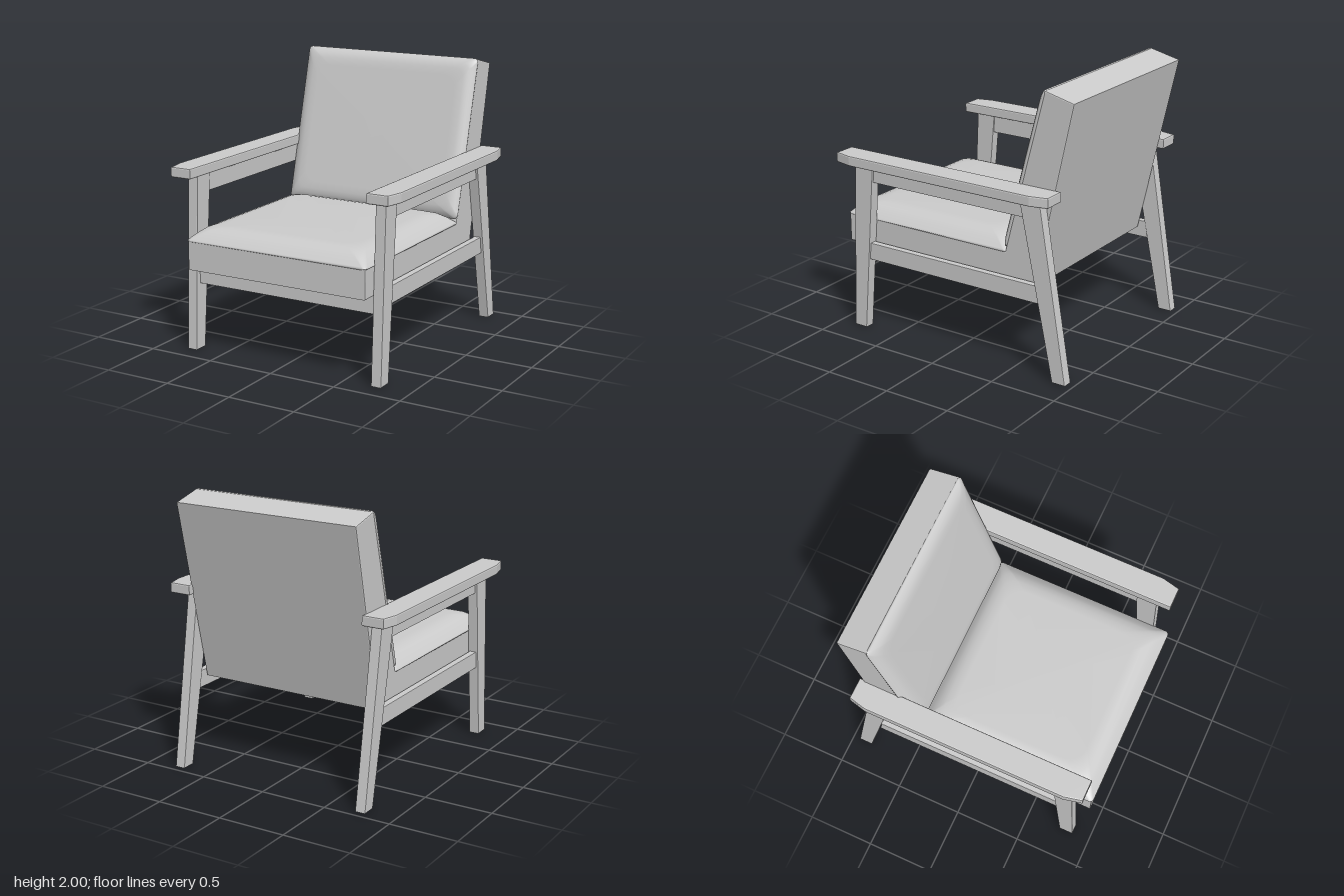
import * as THREE from 'three';

const material = new THREE.MeshStandardMaterial({ color: 0xcccccc });

function add(parent, name, geometry, x = 0, y = 0, z = 0) {
  const mesh = new THREE.Mesh(geometry, material);
  mesh.name = name;
  mesh.position.set(x, y, z);
  parent.add(mesh);
  return mesh;
}

// Softly bevelled slab that keeps the outline's full size, centred on its thickness
function slab(points, thickness, bevel) {
  const shape = new THREE.Shape(points.map(([a, b]) => new THREE.Vector2(a, b)));
  const geometry = new THREE.ExtrudeGeometry(shape, {
    depth: thickness - 2 * bevel, bevelEnabled: true, bevelThickness: bevel,
    bevelSize: bevel, bevelOffset: -bevel, bevelSegments: 2,
  });
  return geometry.translate(0, 0, bevel - thickness / 2);
}

// Outline given as [z, y], thickness along x
const sideSlab = (points, thickness, bevel) => slab(points, thickness, bevel).rotateY(-Math.PI / 2);

// Rounded rectangles stacked by [inset, height], closed with a cap
function pillow(halfW, halfD, radius, profile) {
  const steps = 6, positions = [], index = [];
  const count = 4 * (steps + 1);
  for (const [inset, height] of profile) {
    const r = radius + Math.max(inset, 0) * 0.6;
    for (let corner = 0; corner < 4; corner++) {
      const sx = corner === 0 || corner === 3 ? 1 : -1;
      const sz = corner < 2 ? 1 : -1;
      for (let k = 0; k <= steps; k++) {
        const a = (corner + k / steps) * Math.PI / 2;
        positions.push(sx * (halfW - inset - r) + r * Math.cos(a), height,
          sz * (halfD - inset - r) + r * Math.sin(a));
      }
    }
  }
  const centre = positions.length / 3;
  positions.push(0, profile[profile.length - 1][1], 0);
  for (let row = 0; row < profile.length; row++) {
    for (let i = 0; i < count; i++) {
      const a = row * count + i, b = row * count + (i + 1) % count;
      if (row < profile.length - 1) index.push(a, a + count, b, b, a + count, b + count);
      else index.push(centre, b, a);
    }
  }
  const geometry = new THREE.BufferGeometry();
  geometry.setAttribute('position', new THREE.Float32BufferAttribute(positions, 3));
  geometry.setIndex(index);
  geometry.computeVertexNormals();
  return geometry;
}

export function createModel() {
  const chair = new THREE.Group();
  chair.name = 'armchair';

  // Upholstered seat base and reclined back in one L-shaped body
  add(chair, 'upholsteredBody', sideSlab([
    [0.945, 0.62], [0.945, 0.83], [-0.415, 0.83], [-0.72, 1.995], [-0.945, 1.94], [-0.652, 0.62],
  ], 1.415, 0.008));

  // Domed cushions with a piped edge
  add(chair, 'seatCushion', pillow(0.707, 0.683, 0.03, [
    [0.005, -0.008], [-0.006, -0.003], [-0.008, 0.005], [0, 0.013], [0.012, 0.026],
    [0.04, 0.053], [0.075, 0.08], [0.12, 0.095], [0.18, 0.105],
  ]), 0, 0.83, 0.263);
  const backCushion = add(chair, 'backCushion', pillow(0.707, 0.58, 0.03, [
    [0.005, -0.008], [-0.006, -0.003], [-0.008, 0.005], [0, 0.013], [0.015, 0.026],
    [0.04, 0.041], [0.075, 0.05], [0.13, 0.054],
  ]), 0, 1.43, -0.57);
  backCushion.rotation.x = THREE.MathUtils.degToRad(75);

  // Front rail under the seat
  add(chair, 'frontRail', new THREE.BoxGeometry(1.43, 0.135, 0.06), 0, 0.5525, 0.775);

  for (const [side, s] of [['left', 1], ['right', -1]]) {
    const frame = new THREE.Group();
    frame.name = side + 'SideFrame';
    chair.add(frame);

    // Splayed, tapered legs
    add(frame, 'frontLeg', sideSlab([
      [0.865, 0], [0.76, 0], [0.655, 1.265], [0.81, 1.265],
    ], 0.077, 0.005), s * 0.748);
    add(frame, 'rearLeg', sideSlab([
      [-0.845, 0], [-0.948, 0], [-0.738, 1.265], [-0.578, 1.265],
    ], 0.077, 0.005), s * 0.748);

    // Rails joining the legs
    add(frame, 'armRail', sideSlab([
      [0.70, 1.13], [-0.64, 1.13], [-0.64, 1.265], [0.70, 1.265],
    ], 0.05, 0.003), s * 0.745);
    add(frame, 'seatRail', sideSlab([
      [0.76, 0.54], [-0.725, 0.54], [-0.705, 0.665], [0.76, 0.665],
    ], 0.05, 0.003), s * 0.745);

    // Flat armrest, narrowed at the outer ends
    add(frame, 'armrest', slab([
      [0.695, 0.917], [0.855, 0.917], [0.885, 0.785], [0.885, -0.72], [0.855, -0.847], [0.695, -0.847],
    ].map(([x, z]) => [s * x, z]), 0.075, 0.01).rotateX(Math.PI / 2), 0, 1.2975, 0);
  }

  return chair;
}
